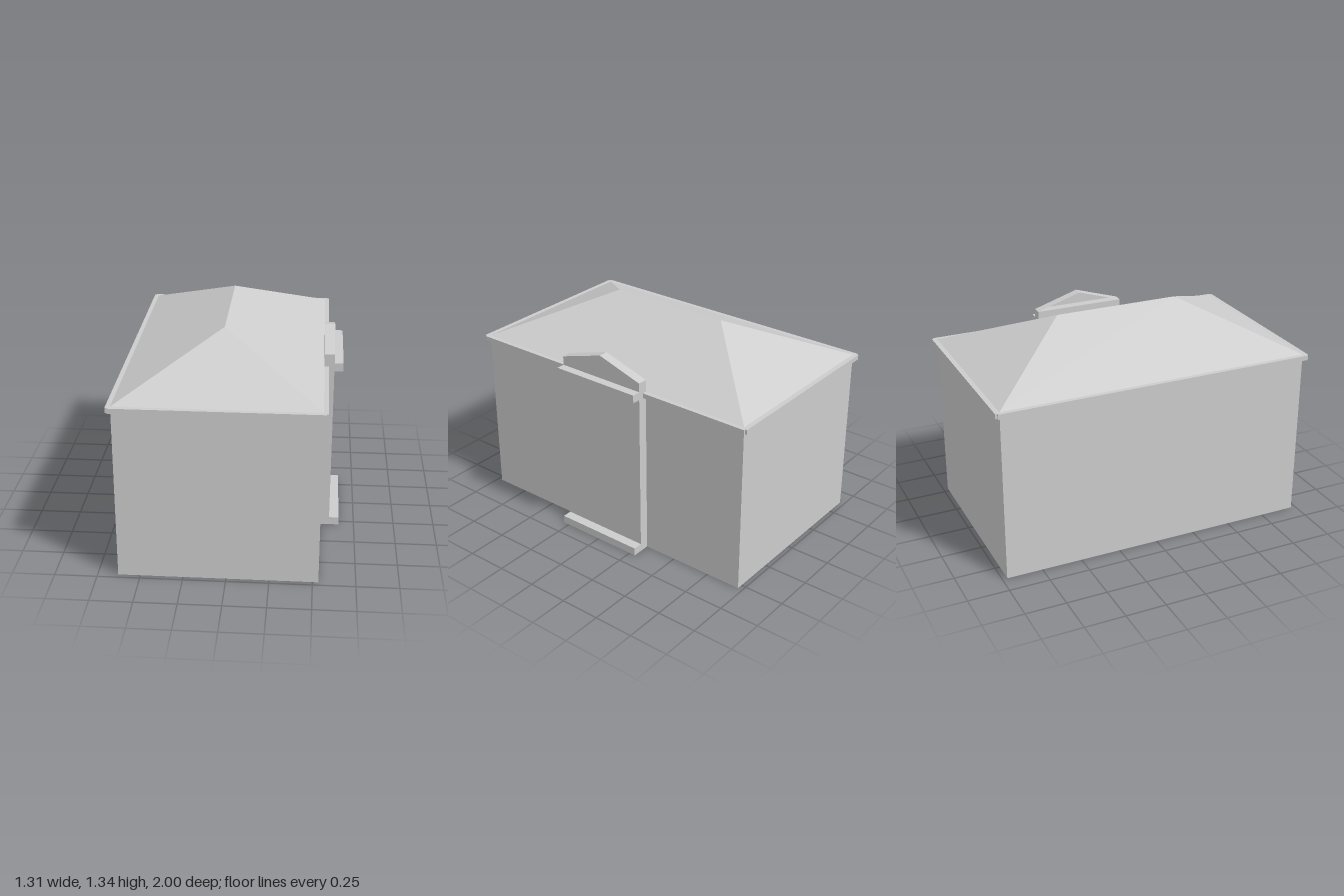
import * as THREE from 'three';

const lightGrey = new THREE.MeshStandardMaterial({ color: 0xcccccc, side: THREE.DoubleSide });
lightGrey.name = 'lightGrey';

// Box from min/max corners, leaving out faces (0 +x, 1 -x, 2 +y, 3 -y, 4 +z, 5 -z)
function box([x0, y0, z0], [x1, y1, z1], open = []) {
  const g = new THREE.BoxGeometry(x1 - x0, y1 - y0, z1 - z0);
  g.translate((x0 + x1) / 2, (y0 + y1) / 2, (z0 + z1) / 2);
  const index = Array.from(g.index.array).filter((_, i) => !open.includes(Math.floor(i / 6)));
  g.setIndex(index);
  g.clearGroups();
  return g;
}

// Flat-shaded surface from convex polygons listed counter-clockwise
function faces(points, polygons) {
  const pos = [];
  for (const p of polygons)
    for (let i = 1; i < p.length - 1; i++)
      pos.push(...points[p[0]], ...points[p[i]], ...points[p[i + 1]]);
  const g = new THREE.BufferGeometry();
  g.setAttribute('position', new THREE.Float32BufferAttribute(pos, 3));
  g.computeVertexNormals();
  return g;
}

export function createModel() {
  const house = new THREE.Group();
  house.name = 'house';
  const add = (name, geometry) => {
    const mesh = new THREE.Mesh(geometry, lightGrey);
    mesh.name = name;
    house.add(mesh);
  };

  const L = -0.63, R = 0.535, Z = 0.97, eave = 1.07, mid = (L + R) / 2;

  // Wall shell, open below and under the roof
  add('walls', box([L, 0, -Z], [R, 1.04, Z], [2, 3]));

  // Hipped roof
  add('roof', faces(
    [[L, eave, Z], [R, eave, Z], [R, eave, -Z], [L, eave, -Z], [mid, 1.34, 0.39], [mid, 1.34, -0.39]],
    [[0, 1, 4], [1, 2, 5, 4], [2, 3, 5], [3, 0, 4, 5]]));

  // Eaves band with small notches at the corners
  const outline = [];
  const hx = 0.61, hz = 1, n = 0.012;
  for (const [sx, sz] of [[1, 1], [-1, 1], [-1, -1], [1, -1]]) {
    const corner = [[hx, hz - n], [hx - n, hz - n], [hx - n, hz]].map(
      ([x, z]) => new THREE.Vector2(mid + sx * x, sz * z));
    outline.push(...(sx * sz > 0 ? corner : corner.reverse()));
  }
  const band = new THREE.Shape(outline);
  band.holes.push(new THREE.Path([[L, -Z], [L, Z], [R, Z], [R, -Z]].map(p => new THREE.Vector2(...p))));
  const bandGeo = new THREE.ExtrudeGeometry(band, { depth: 0.03, bevelEnabled: false });
  bandGeo.rotateX(-Math.PI / 2).translate(0, 1.04, 0);
  add('eaves', bandGeo);

  // Shallow entrance bay with a gable left open at its back
  const F = 0.595, W = 0.29, top = 1.145, peak = 1.235;
  add('entranceBay', box([R, 0, -W], [F, top, W], [3]));
  add('entranceGable', faces(
    [[F, top, W], [F, top, -W], [F, peak, 0], [R, top, W], [R, top, -W], [R, peak, 0]],
    [[0, 1, 2], [3, 0, 2, 5], [1, 4, 5, 2]]));

  // Ledge over the entrance and step below it
  add('entranceLedge', box([F, 1.04, -W], [0.648, 1.09, W]));
  add('entranceStep', box([F, 0, -W], [0.655, 0.05, W], [3]));

  return house;
}
